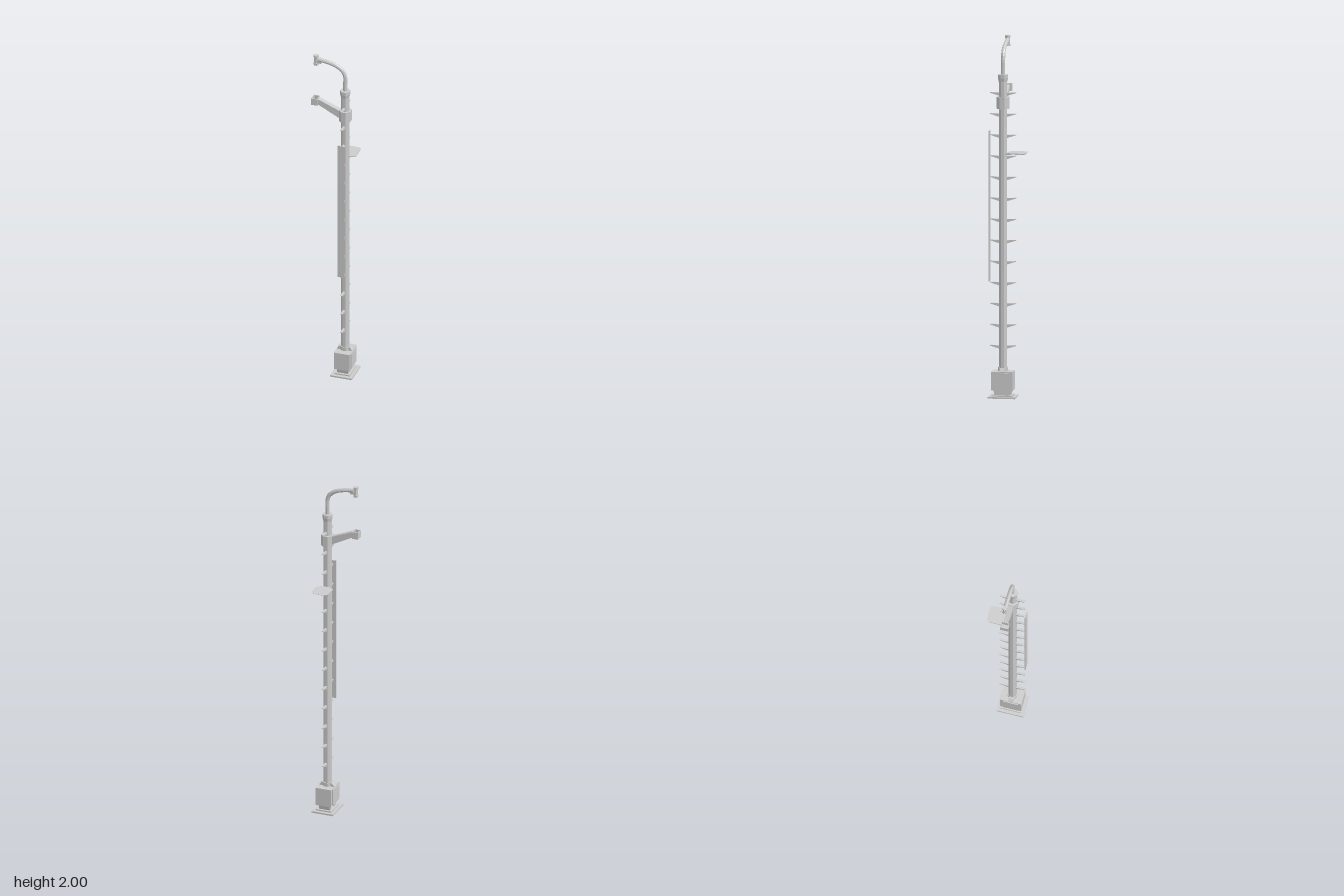
import * as THREE from 'three';

const PX = 0.063, PZ = 0.027; // pole axis

export function createModel() {
  const root = new THREE.Group();
  root.name = 'utilityPole';
  const mat = new THREE.MeshStandardMaterial({ color: 0xcccccc, flatShading: true, side: THREE.DoubleSide });

  const add = (name, geo, x = 0, y = 0, z = 0) => {
    const m = new THREE.Mesh(geo, mat);
    m.name = name;
    m.position.set(x, y, z);
    root.add(m);
    return m;
  };
  // Box given by its min and max corners
  const box = (name, x0, x1, y0, y1, z0, z1) =>
    add(name, new THREE.BoxGeometry(x1 - x0, y1 - y0, z1 - z0), (x0 + x1) / 2, (y0 + y1) / 2, (z0 + z1) / 2);
  // Prism on the pole axis, with flats facing the axes when it has eight sides
  const prism = (name, rTop, rBottom, y0, y1, sides = 8, x = PX) => {
    const g = new THREE.CylinderGeometry(rTop, rBottom, y1 - y0, sides);
    g.rotateY(sides === 8 ? Math.PI / 8 : Math.PI / 2);
    return add(name, g, x, (y0 + y1) / 2, PZ);
  };
  // Outline extruded symmetrically along its local z
  const slab = (points, width) => {
    const shape = new THREE.Shape(points.map(p => new THREE.Vector2(...p)));
    return new THREE.ExtrudeGeometry(shape, { depth: width, bevelEnabled: false }).translate(0, 0, -width / 2);
  };

  // Base plate, feet and ballast box
  box('basePlate', 0, 0.127, 0, 0.009, -0.05, 0.104);
  box('basePad', 0.018, 0.108, 0.009, 0.016, -0.03, 0.084);
  box('baseNeck', 0.042, 0.084, 0.014, 0.046, 0.0, 0.054);
  for (const s of [-1, 1]) {
    const foot = slab([[-0.012, 0.014], [0.012, 0.014], [0.018, 0.046], [-0.018, 0.046]], 0.064);
    foot.rotateY(Math.PI / 2);
    add('foot', foot, PX, 0, PZ + s * 0.032);
  }
  box('baseBox', 0.018, 0.109, 0.044, 0.148, -0.034, 0.088);
  for (const s of [-1, 1]) {
    const x = PX + s * 0.047;
    box('sidePanel', x - 0.003, x + 0.003, 0.052, 0.142, -0.016, 0.07);
    // Sloped gusset beside the pole
    const gusset = slab([[0.015, 0.147], [0.045, 0.147], [0.032, 0.168], [0.015, 0.168]], 0.028);
    if (s < 0) gusset.rotateY(Math.PI);
    add('gusset', gusset, PX, 0, PZ);
  }

  // Pole, collar and clamp
  prism('pole', 0.0235, 0.0235, 0.147, 1.8);
  prism('baseCollar', 0.028, 0.028, 0.147, 0.17);
  prism('topCollar', 0.0285, 0.0245, 1.765, 1.785);
  prism('topCap', 0.0285, 0.0285, 1.785, 1.805);
  prism('clamp', 0.036, 0.036, 1.615, 1.68);

  // Climbing rungs, tapering to a point at each end
  const half = [[0.015, -0.016], [0.03, -0.012], [0.073, 0.002], [0.073, 0.005], [0.015, 0.003]];
  for (let i = 0; i < 13; i++) {
    for (const s of [-1, 1]) {
      const rung = slab(half, 0.012);
      rung.rotateY(s * Math.PI / 2);
      add('rung', rung, PX, 0.287 + i * 0.1178, PZ);
    }
  }

  // Long front panel carried on the rung tips
  box('frontPanel', 0.043, 0.084, 0.65, 1.49, 0.1, 0.106);

  // Rear platform with clipped back corners
  const deck = slab([[-0.049, -0.016], [-0.049, -0.098], [-0.035, -0.11], [0.035, -0.11],
    [0.049, -0.098], [0.049, -0.016], [0.02, 0.0], [-0.02, 0.0]], 0.006);
  deck.rotateX(Math.PI / 2);
  const dp = deck.attributes.position;
  for (let i = 0; i < dp.count; i++) {
    // Underside runs in from the back edge
    if (dp.getY(i) < 0 && dp.getZ(i) < -0.09) dp.setZ(i, dp.getZ(i) + 0.01);
  }
  deck.computeVertexNormals();
  add('platform', deck, PX, 1.368, 0);
  box('platformBracket', 0.045, 0.081, 1.358, 1.366, -0.02, 0.02);

  // Tapered side bracket with an open tray at its end
  add('sideBracket', slab([[0.045, 1.62], [0.045, 1.677], [0.03, 1.677], [-0.092, 1.727], [-0.092, 1.694], [0.03, 1.63]], 0.028), 0, 0, PZ);
  box('trayFloor', -0.128, -0.091, 1.69, 1.697, 0.004, 0.05);
  box('trayWall', -0.128, -0.124, 1.69, 1.73, 0.004, 0.05);
  box('trayWall', -0.095, -0.091, 1.69, 1.73, 0.004, 0.05);
  box('trayWall', -0.124, -0.095, 1.69, 1.73, 0.004, 0.008);
  box('trayWall', -0.124, -0.095, 1.69, 1.73, 0.046, 0.05);

  // Curved lamp arm
  const path = new THREE.CatmullRomCurve3([
    [0.063, 1.8], [0.063, 1.85], [0.063, 1.89], [0.05, 1.925], [0.018, 1.95], [-0.03, 1.966], [-0.095, 1.976],
  ].map(([x, y]) => new THREE.Vector3(x, y, PZ)));
  add('lampArm', new THREE.TubeGeometry(path, 16, 0.012, 8, false));

  // Hexagonal lamp head
  prism('lampBody', 0.0125, 0.0125, 1.945, 1.995, 6, -0.106);
  prism('lampTop', 0.0155, 0.0155, 1.988, 2.0, 6, -0.106);
  prism('lampBottom', 0.0155, 0.0155, 1.94, 1.952, 6, -0.106);
  box('lampFitting', -0.098, -0.075, 1.953, 1.968, 0.019, 0.035);

  return root;
}
